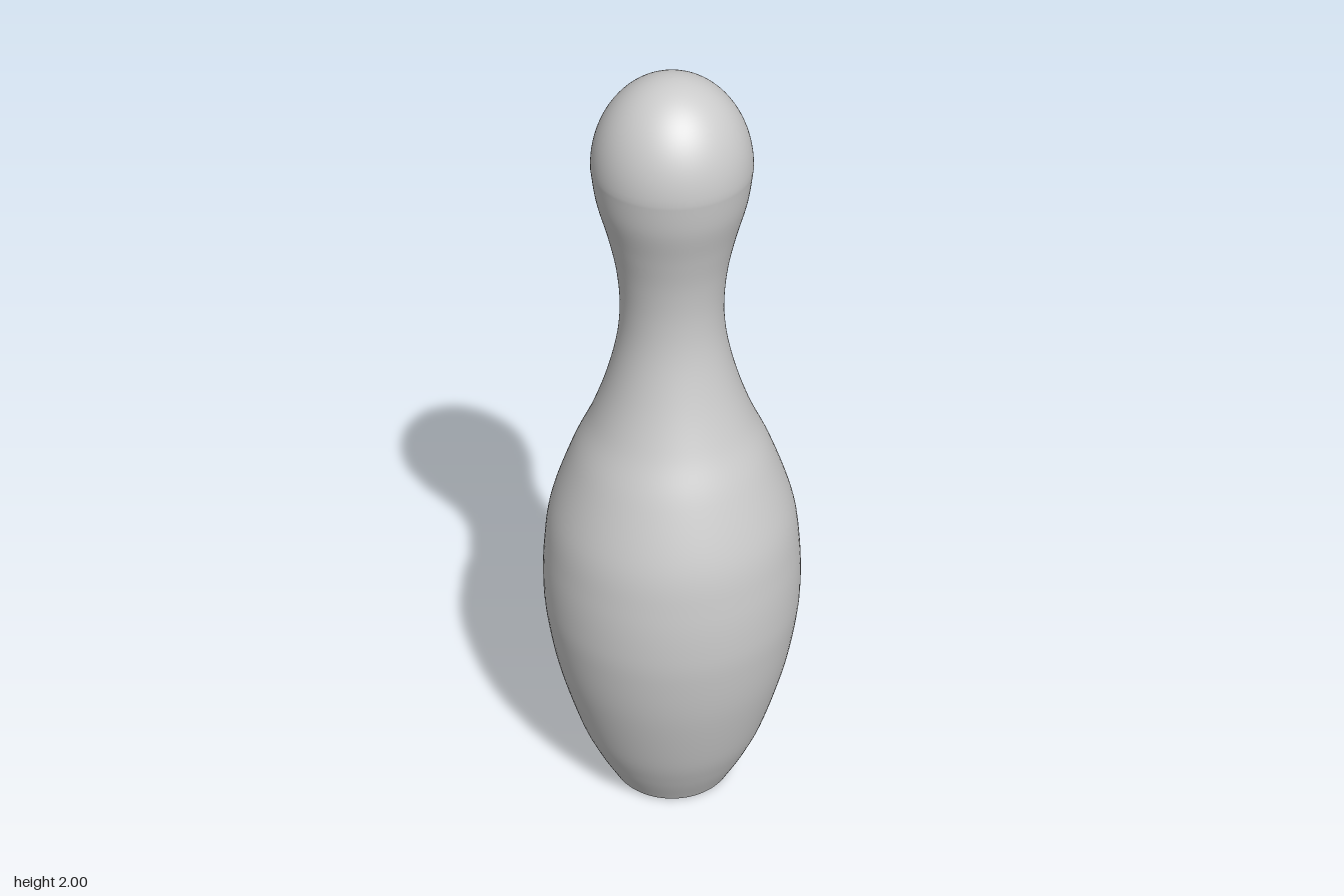
import * as THREE from 'three';
import { mergeVertices } from 'three/addons/utils/BufferGeometryUtils.js';

const material = new THREE.MeshStandardMaterial({ color: 0xcccccc });
const vectors = (pairs) => pairs.map(([r, y]) => new THREE.Vector2(r, y));

export function createModel() {
  const group = new THREE.Group();
  group.name = 'bowlingPin';

  // Side curve: rounded heel, wide belly, narrow neck, up to the widest part of the head
  const side = new THREE.SplineCurve(vectors([
    [0.14, 0], [0.151, 0.006], [0.162, 0.025], [0.2, 0.1], [0.24, 0.2], [0.288, 0.375],
    [0.312, 0.52], [0.318, 0.62], [0.313, 0.73], [0.295, 0.85], [0.243, 1.0],
    [0.193, 1.11], [0.154, 1.22], [0.128, 1.33], [0.121, 1.425], [0.129, 1.52],
    [0.148, 1.61], [0.172, 1.7], [0.183, 1.78],
  ])).getPoints(110);

  // Head dome: quarter ellipse closing at the top
  const dome = [];
  for (let i = 1; i <= 24; i++) {
    const a = (i / 24) * Math.PI / 2;
    dome.push(new THREE.Vector2(i === 24 ? 0 : 0.183 * Math.cos(a), 1.78 + 0.22 * Math.sin(a)));
  }

  const body = new THREE.Mesh(new THREE.LatheGeometry([...side, ...dome], 96), material);
  body.name = 'body';
  group.add(body);

  // Flat underside
  const base = new THREE.Mesh(mergeVertices(new THREE.CircleGeometry(0.14, 96).rotateX(Math.PI / 2)), material);
  base.name = 'base';
  group.add(base);

  return group;
}
